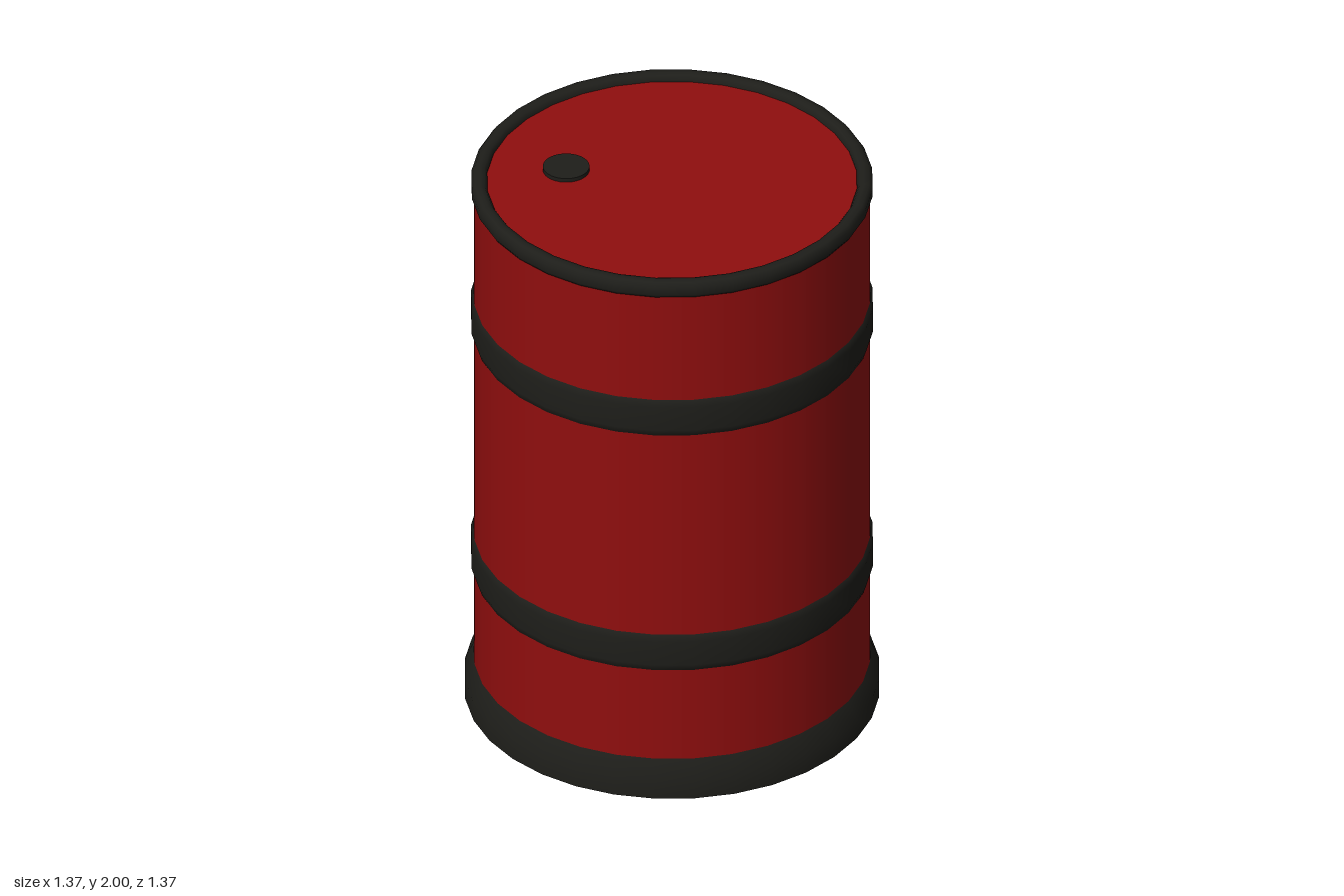
import * as THREE from 'three';

const SIDES = 32;
const red = new THREE.MeshStandardMaterial({ color: 0x900e0e });
const black = new THREE.MeshStandardMaterial({ color: 0x1e1e1a });

export function createModel() {
  const drum = new THREE.Group();
  drum.name = 'drum';

  const add = (name, geometry, material, x = 0, y = 0, z = 0) => {
    const mesh = new THREE.Mesh(geometry, material);
    mesh.name = name;
    mesh.position.set(x, y, z);
    drum.add(mesh);
    return mesh;
  };
  // Turned part from [radius, height] pairs, listed upward along the outside
  const turned = (points) =>
    new THREE.LatheGeometry(points.map(([r, y]) => new THREE.Vector2(r, y)), SIDES);

  // Wall of the drum
  add('body', new THREE.CylinderGeometry(0.655, 0.655, 1.9, SIDES, 1, true), red, 0, 1.02, 0);

  // Two hoops with softly bevelled edges
  const hoop = turned([[0.65, -0.069], [0.656, -0.069], [0.664, -0.045],
    [0.664, 0.045], [0.656, 0.069], [0.65, 0.069]]);
  add('lowerHoop', hoop, black, 0, 0.553, 0);
  add('upperHoop', hoop, black, 0, 1.471, 0);

  // Flared foot and flat underside
  add('foot', turned([[0.685, 0], [0.685, 0.07], [0.656, 0.137], [0.65, 0.137]]), black);
  const underside = add('underside', new THREE.CircleGeometry(0.685, SIDES), black);
  underside.rotation.x = Math.PI / 2;

  // Rolled rim around the lid
  add('rim', turned([[0.64, 1.942], [0.655, 1.942], [0.663, 1.955], [0.663, 1.982],
    [0.652, 1.998], [0.635, 2.0], [0.62, 1.996], [0.611, 1.982], [0.611, 1.96]]), black);

  // Recessed lid with its bung cap
  const lid = add('lid', new THREE.CircleGeometry(0.63, SIDES), red, 0, 1.976, 0);
  lid.rotation.x = -Math.PI / 2;
  add('bungCap', new THREE.CylinderGeometry(0.077, 0.077, 0.03, SIDES), black, -0.28, 1.975, 0.22);

  return drum;
}
